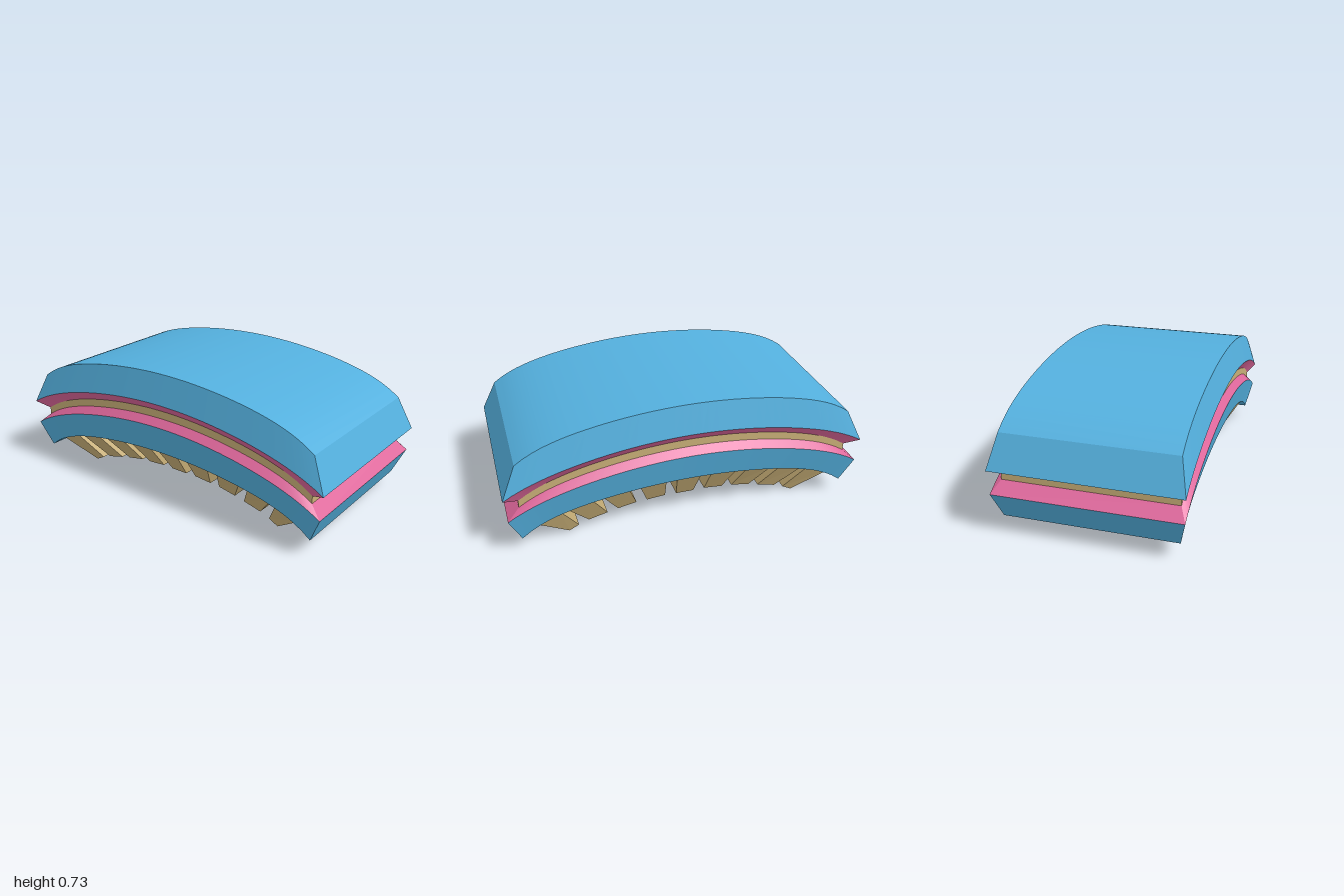
import * as THREE from 'three';
import { toCreasedNormals } from 'three/addons/utils/BufferGeometryUtils.js';

const STEPS = 40;

// A level is a rectangle (half width w, half depth d) bent into an arch:
// height mid at the centre, end at both ends; r sets how rounded the ends are.
const height = (l, u) => l.mid - (l.mid - l.end) * ((1 - l.r) * u * u + l.r * Math.pow(Math.abs(u), 8));

function point(l, i, side) {
  const u = (i / STEPS) * 2 - 1;
  return [u * l.w, height(l, u), side * l.d];
}

function quad(out, a, b, c, d) {
  out.push(...a, ...b, ...c, ...a, ...c, ...d);
}

function makeGeometry(out) {
  const g = new THREE.BufferGeometry();
  g.setAttribute('position', new THREE.Float32BufferAttribute(out, 3));
  return toCreasedNormals(g, 0.3);
}

// Sloping wall around the outline between two levels, with optional caps
function layer(lo, hi, { top = false, bottom = false } = {}) {
  const out = [];
  for (let i = 0; i < STEPS; i++) {
    const j = i + 1;
    quad(out, point(lo, i, 1), point(lo, j, 1), point(hi, j, 1), point(hi, i, 1));
    quad(out, point(lo, j, -1), point(lo, i, -1), point(hi, i, -1), point(hi, j, -1));
    if (top) quad(out, point(hi, i, 1), point(hi, j, 1), point(hi, j, -1), point(hi, i, -1));
    if (bottom) quad(out, point(lo, i, -1), point(lo, j, -1), point(lo, j, 1), point(lo, i, 1));
  }
  const n = STEPS;
  quad(out, point(lo, n, 1), point(lo, n, -1), point(hi, n, -1), point(hi, n, 1));
  quad(out, point(lo, 0, -1), point(lo, 0, 1), point(hi, 0, 1), point(hi, 0, -1));
  return makeGeometry(out);
}

// Tapered rib from its front profile: top left, top right, bottom left, bottom right
function ribGeometry([tl, tr, bl, br]) {
  const g = new THREE.BoxGeometry(1, 1, 1);
  const p = g.attributes.position;
  for (let i = 0; i < p.count; i++) {
    const up = p.getY(i) > 0, right = p.getX(i) > 0, front = p.getZ(i) > 0;
    const [x, y] = up ? (right ? tr : tl) : (right ? br : bl);
    p.setXYZ(i, x, y, up ? (front ? 0.45 : -0.455) : (front ? 0.34 : -0.375));
  }
  const flat = g.toNonIndexed();
  flat.computeVertexNormals();
  return flat;
}

export function createModel() {
  const group = new THREE.Group();
  const material = (name, color) => {
    const m = new THREE.MeshStandardMaterial({ color });
    m.name = name;
    return m;
  };
  const blue = material('blue', 0x54b0de);
  const pink = material('pink', 0xde679b);
  const tan = material('tan', 0xc9b078);
  const add = (name, geometry, mat) => {
    const mesh = new THREE.Mesh(geometry, mat);
    mesh.name = name;
    group.add(mesh);
    return mesh;
  };

  // Arched levels, from the underside to the crown
  const underside = { w: 0.92, d: 0.46, end: 0.075, mid: 0.27, r: 0.32 };
  const lowerEdge = { w: 0.985, d: 0.495, end: 0.22, mid: 0.435, r: 0.15 };
  const coreBottom = { w: 0.92, d: 0.46, end: 0.278, mid: 0.475, r: 0.2 };
  const coreTop = { w: 0.92, d: 0.46, end: 0.32, mid: 0.52, r: 0.2 };
  const upperEdge = { w: 1, d: 0.5, end: 0.355, mid: 0.57, r: 0.15 };
  const crown = { w: 0.92, d: 0.46, end: 0.533, mid: 0.73, r: 0.25 };

  add('lowerShell', layer(underside, lowerEdge, { bottom: true }), blue);
  add('lowerBevel', layer(lowerEdge, coreBottom), pink);
  add('coreBand', layer(coreBottom, coreTop), tan);
  add('upperBevel', layer(coreTop, upperEdge), pink);
  add('upperShell', layer(upperEdge, crown, { top: true }), blue);

  // Flat plate behind the middle ribs
  add('innerPlate', new THREE.BoxGeometry(0.7, 0.03, 0.82), blue).position.set(0, 0.258, 0);

  // Ribs under the arch, mirrored about the middle one
  add('middleRib', ribGeometry([[-0.07, 0.28], [0.07, 0.28], [-0.05, 0.12], [0.05, 0.12]]), tan);
  const ribs = [
    [[0.13, 0.28], [0.28, 0.27], [0.115, 0.122], [0.22, 0.113]],
    [[0.34, 0.265], [0.49, 0.25], [0.28, 0.11], [0.385, 0.09]],
    [[0.545, 0.24], [0.69, 0.215], [0.445, 0.076], [0.55, 0.05]],
    [[0.715, 0.2], [0.85, 0.15], [0.607, 0.028], [0.66, 0]],
  ];
  const flip = ([x, y]) => [-x, y];
  ribs.forEach(([tl, tr, bl, br], i) => {
    add(`leftRib${i + 1}`, ribGeometry([tl, tr, bl, br]), tan);
    add(`rightRib${i + 1}`, ribGeometry([tr, tl, br, bl].map(flip)), tan);
  });
  return group;
}
